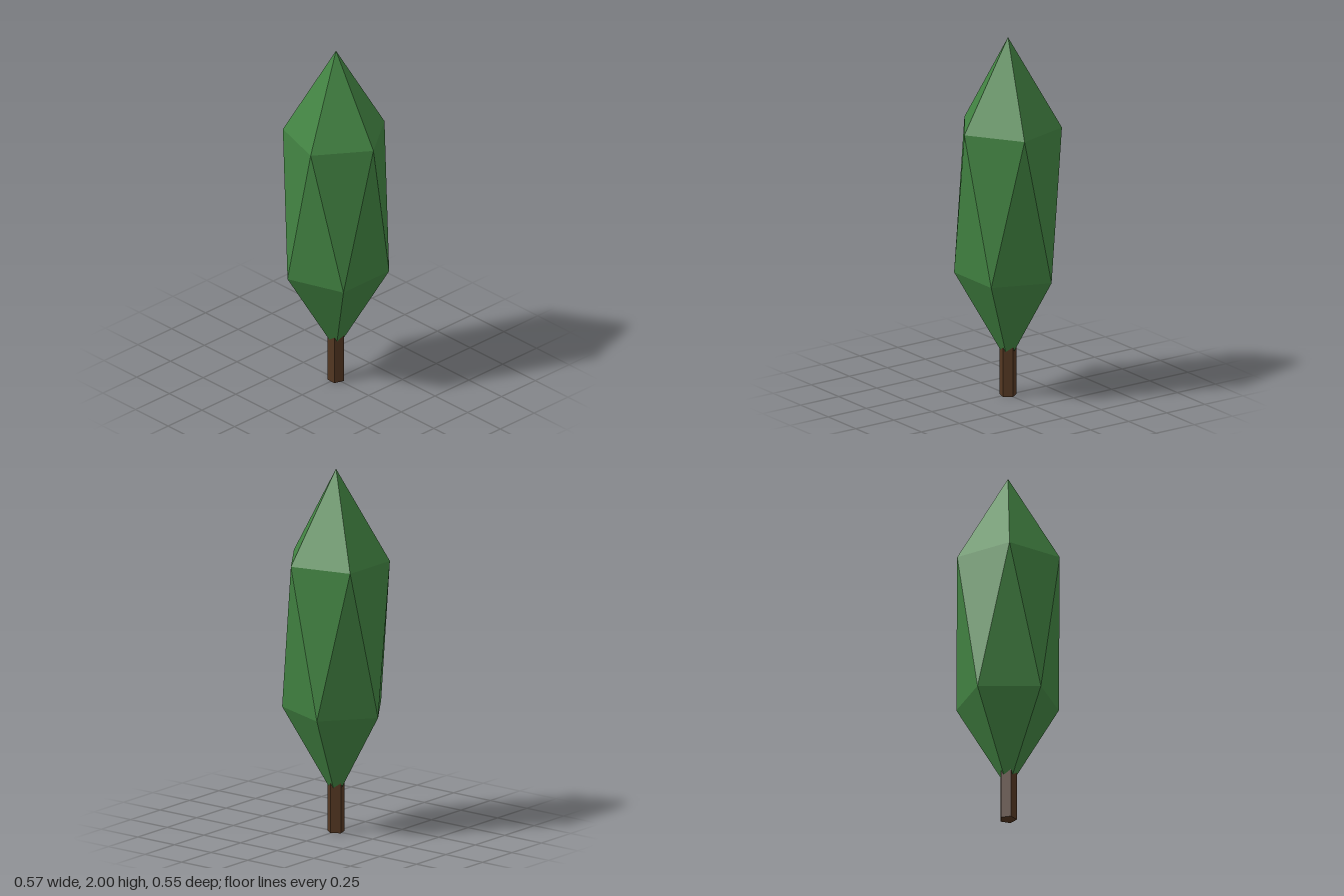
import * as THREE from 'three';

const leafGreen = new THREE.MeshStandardMaterial({ color: 0x428342, flatShading: true });
leafGreen.name = 'leafGreen';
const barkBrown = new THREE.MeshStandardMaterial({ color: 0x533722, flatShading: true });
barkBrown.name = 'barkBrown';

// Stretched icosahedron: two poles and two staggered five-point rings
function crownGeometry(bottom, lower, upper, top, radius) {
  const points = [0, top, 0, 0, bottom, 0];
  const addRing = (y, offset) => {
    for (let i = 0; i < 5; i++) {
      const a = offset + (i * Math.PI * 2) / 5;
      const x = radius * Math.cos(a);
      points.push(x, y + 0.02 * x, radius * Math.sin(a));
    }
  };
  addRing(upper, 0);
  addRing(lower, Math.PI / 5);

  const faces = [];
  for (let i = 0; i < 5; i++) {
    const j = (i + 1) % 5;
    const u0 = 2 + i, u1 = 2 + j, l0 = 7 + i, l1 = 7 + j;
    faces.push(0, u1, u0, u0, u1, l0, u1, l1, l0, 1, l0, l1);
  }
  const indexed = new THREE.BufferGeometry();
  indexed.setAttribute('position', new THREE.Float32BufferAttribute(points, 3));
  indexed.setIndex(faces);
  const geometry = indexed.toNonIndexed();
  geometry.computeVertexNormals();
  return geometry;
}

export function createModel() {
  const tree = new THREE.Group();
  tree.name = 'tree';

  // Tall faceted foliage
  const crown = new THREE.Mesh(crownGeometry(0.18, 0.68, 1.5, 2, 0.287), leafGreen);
  crown.name = 'crown';
  tree.add(crown);

  // Five-sided trunk with a flat side to the front
  const trunk = new THREE.Mesh(new THREE.CylinderGeometry(0.047, 0.047, 0.29, 5), barkBrown);
  trunk.name = 'trunk';
  trunk.position.y = 0.145;
  trunk.rotation.y = Math.PI;
  tree.add(trunk);

  return tree;
}
